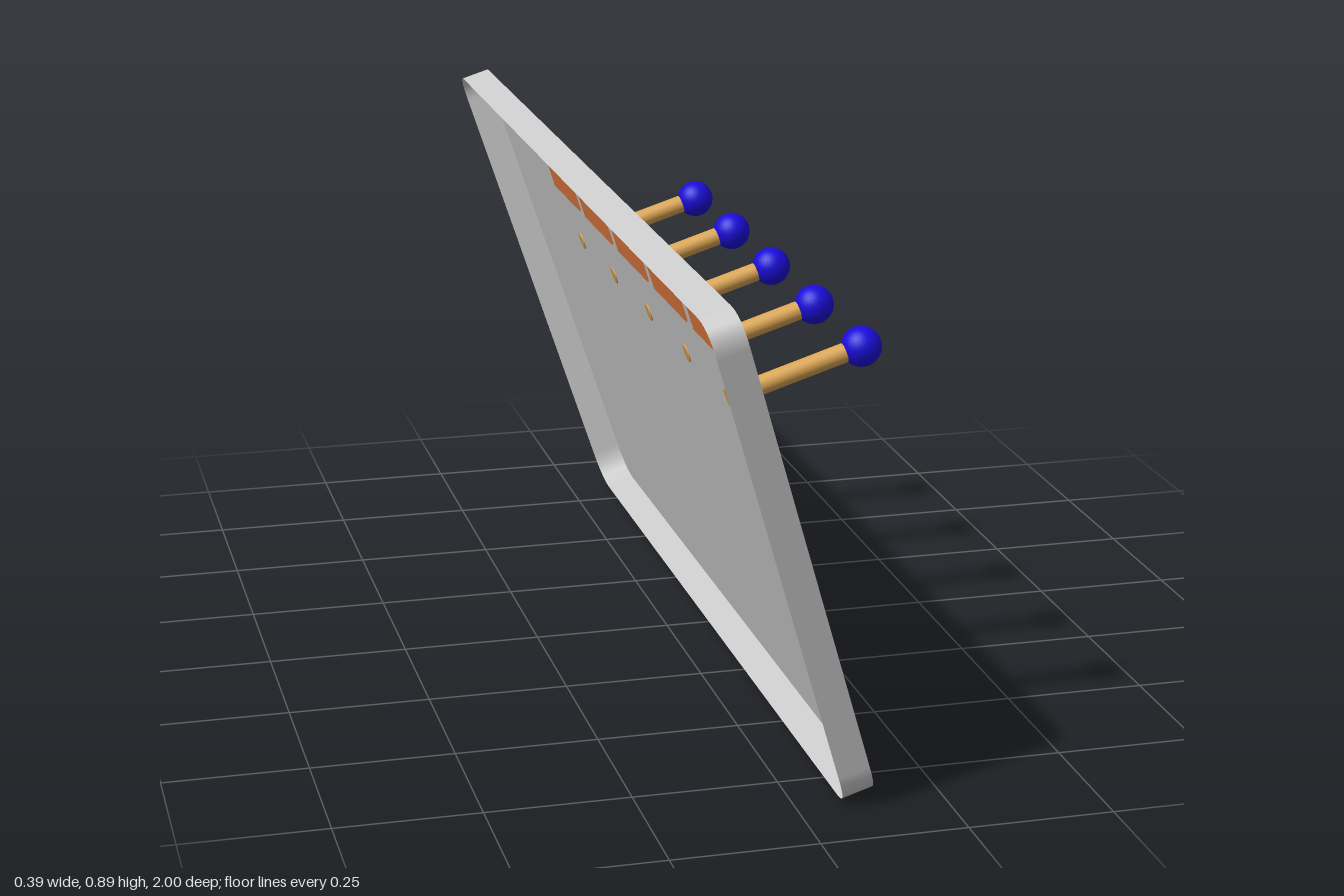
import * as THREE from 'three';

const HEIGHT = 0.914, DEPTH = 0.055, TILT = 0.305;
const mat = (color) => new THREE.MeshStandardMaterial({ color, side: THREE.DoubleSide });

// Trapezoid with rounded corners, wider at the top
function panelShape() {
  const half = (y) => 0.88 + 0.138 * y;
  const r = 0.06, top = half(HEIGHT), bottom = half(0);
  const s = new THREE.Shape();
  s.moveTo(-bottom + r, 0);
  s.lineTo(bottom - r, 0);
  s.quadraticCurveTo(bottom, 0, half(r), r);
  s.lineTo(half(HEIGHT - r), HEIGHT - r);
  s.quadraticCurveTo(top, HEIGHT, top - r, HEIGHT);
  s.lineTo(-top + r, HEIGHT);
  s.quadraticCurveTo(-top, HEIGHT, -half(HEIGHT - r), HEIGHT - r);
  s.lineTo(-half(r), r);
  s.quadraticCurveTo(-bottom, 0, -bottom + r, 0);
  return s;
}

// Thin wall running back from the outline, open behind
function rimGeometry(shape) {
  const pts = shape.getPoints(10);
  if (pts[0].distanceTo(pts[pts.length - 1]) < 1e-6) pts.pop();
  const n = pts.length, positions = [], index = [];
  pts.forEach((p, i) => {
    positions.push(p.x, p.y, 0, p.x, p.y, -DEPTH);
    const a = 2 * i, b = 2 * ((i + 1) % n);
    index.push(a, a + 1, b, b, a + 1, b + 1);
  });
  const g = new THREE.BufferGeometry();
  g.setAttribute('position', new THREE.Float32BufferAttribute(positions, 3));
  g.setIndex(index);
  g.computeVertexNormals();
  return g;
}

export function createModel() {
  const model = new THREE.Group();
  model.name = 'leverPanel';

  // Everything is built upright facing +x, then leaned back
  const board = new THREE.Group();
  board.name = 'tiltedBoard';
  board.rotation.z = TILT;
  board.position.set(0.134, DEPTH * Math.sin(TILT), 0);
  model.add(board);

  const add = (parent, name, geometry, material, x = 0, y = 0, z = 0) => {
    const mesh = new THREE.Mesh(geometry, material);
    mesh.name = name;
    mesh.position.set(x, y, z);
    parent.add(mesh);
  };

  // Hollow panel: face and rim
  const grey = mat(0xcccccc);
  const shape = panelShape();
  add(board, 'panelFace', new THREE.ShapeGeometry(shape, 10).rotateY(Math.PI / 2), grey);
  add(board, 'panelRim', rimGeometry(shape).rotateY(Math.PI / 2), grey);

  // Five label plates, each with a lever below
  const orange = mat(0xe07a3e), brass = mat(0xd9a452), blue = mat(0x1a0cd8);
  const plate = new THREE.BoxGeometry(0.015, 0.115, 0.22);
  const rod = new THREE.CylinderGeometry(0.0165, 0.0165, 0.237, 20).rotateZ(-Math.PI / 2);
  const knob = new THREE.SphereGeometry(0.034, 28, 18);
  for (let i = 0; i < 5; i++) {
    const unit = new THREE.Group();
    unit.name = `leverUnit${i + 1}`;
    unit.position.z = 0.67 - 0.268 * i;
    add(unit, 'labelPlate', plate, orange, 0.0045, 0.8175);
    add(unit, 'leverRod', rod, brass, 0.1165, 0.668);
    add(unit, 'leverKnob', knob, blue, 0.236, 0.668);
    board.add(unit);
  }
  return model;
}
